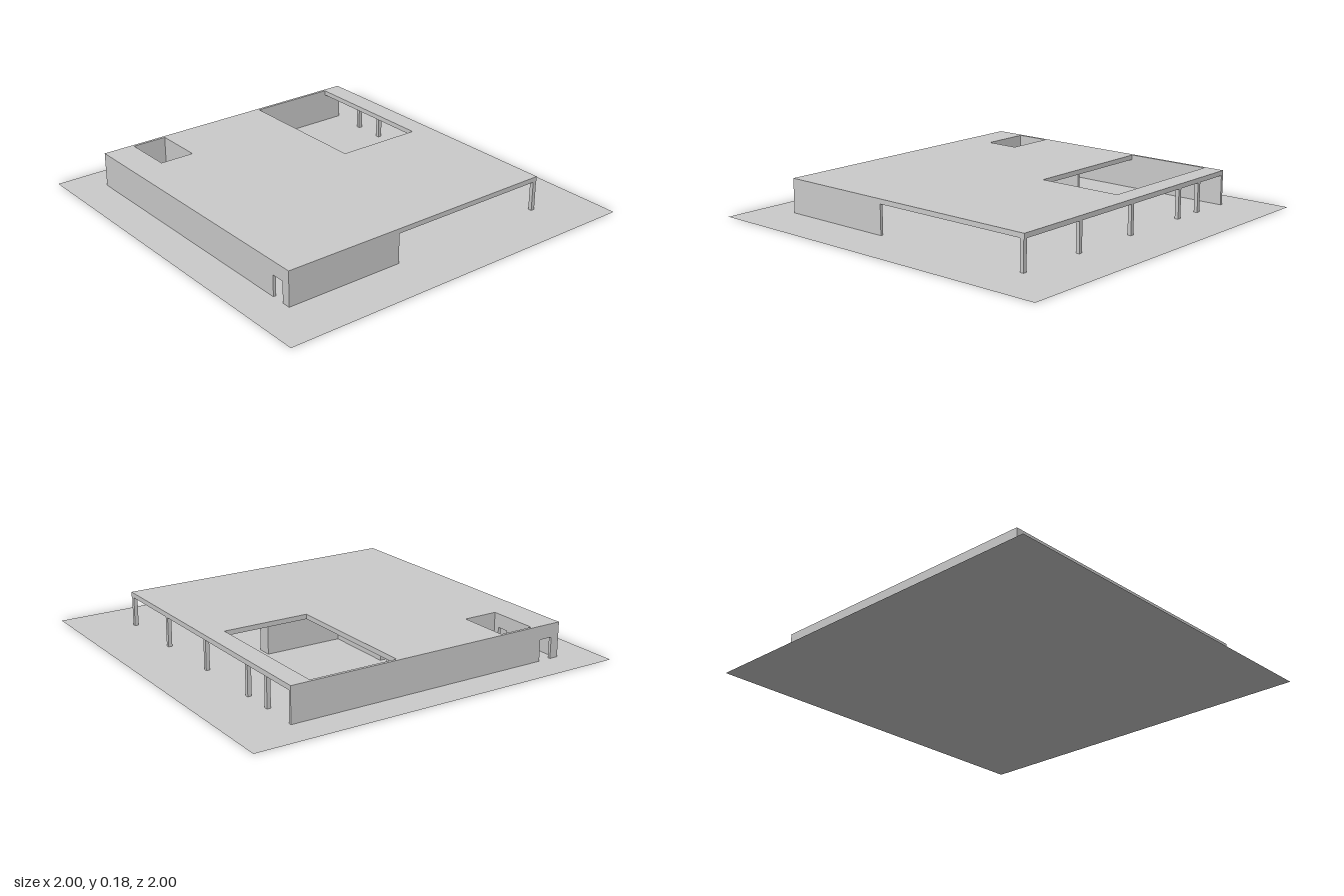
import * as THREE from 'three';

const material = new THREE.MeshStandardMaterial({ color: 0xcccccc, flatShading: true });
const groundMaterial = new THREE.MeshStandardMaterial({ color: 0xcccccc, side: THREE.DoubleSide });

// Outer limits of the house
const L = -0.83, R = 0.735, BACK = -0.715, FRONT = 0.81;
const CEILING = 0.155, TOP = 0.18, T = 0.015, DOOR = 0.11;

// Axis-aligned block given by its limits
function block(name, x0, x1, y0, y1, z0, z1) {
  const mesh = new THREE.Mesh(new THREE.BoxGeometry(x1 - x0, y1 - y0, z1 - z0), material);
  mesh.position.set((x0 + x1) / 2, (y0 + y1) / 2, (z0 + z1) / 2);
  mesh.name = name;
  return mesh;
}

const wall = (name, x0, x1, z0, z1) => block(name, x0, x1, 0, CEILING, z0, z1);

// Outline running from a to b, notched by a doorway from d0 to d1
function doorwayShape(a, b, d0, d1) {
  return new THREE.Shape([
    [a, 0], [d0, 0], [d0, DOOR], [d1, DOOR], [d1, 0], [b, 0], [b, CEILING], [a, CEILING],
  ].map(([u, v]) => new THREE.Vector2(u, v)));
}

function extruded(name, shape, depth) {
  const mesh = new THREE.Mesh(new THREE.ExtrudeGeometry(shape, { depth, bevelEnabled: false }), material);
  mesh.name = name;
  return mesh;
}

function rectangle(PathType, x0, x1, z0, z1) {
  return new PathType([[x0, -z0], [x0, -z1], [x1, -z1], [x1, -z0]].map(([x, y]) => new THREE.Vector2(x, y)));
}

export function createModel() {
  const model = new THREE.Group();
  model.name = 'courtyardHouse';

  // Flat site
  const ground = new THREE.Mesh(new THREE.PlaneGeometry(2, 2).rotateX(-Math.PI / 2), groundMaterial);
  ground.name = 'ground';
  model.add(ground);

  // Roof slab open over the two courtyards
  const roofShape = rectangle(THREE.Shape, L, R, BACK, FRONT);
  roofShape.holes.push(
    rectangle(THREE.Path, -0.815, -0.065, -0.61, -0.15),
    rectangle(THREE.Path, -0.815, -0.55, 0.46, 0.645),
  );
  const roof = extruded('roof', roofShape, TOP - CEILING);
  roof.rotation.x = -Math.PI / 2;
  roof.position.y = CEILING;
  model.add(roof);

  // Outer walls, with doorways in the front and the -x side
  const frontWall = extruded('frontWall', doorwayShape(L, R, 0.62, 0.69), T);
  frontWall.position.z = FRONT - T;
  const sideWall = extruded('courtyardSideWall', doorwayShape(-FRONT + T, -BACK, -0.765, -0.695), T);
  sideWall.rotation.y = Math.PI / 2;
  sideWall.position.x = L;
  model.add(frontWall, sideWall, wall('porchSideWall', R - T, R, 0.18, FRONT - T));

  // Small courtyard enclosure with its own doorway
  const courtFront = extruded('smallCourtFrontWall', doorwayShape(L + T, -0.535, -0.64, -0.58), T);
  courtFront.position.z = 0.645;
  model.add(
    courtFront,
    wall('smallCourtBackWall', L + T, -0.55, 0.445, 0.46),
    wall('smallCourtInnerWall', -0.55, -0.535, 0.0, 0.645),
  );

  // Inner core and the partition beside the large courtyard
  model.add(
    wall('core', -0.4, 0.045, 0.06, 0.3),
    wall('largeCourtPartition', -0.03, 0.045, -0.35, 0.06),
  );

  // Posts along the open back
  for (const x of [0.725, 0.34, -0.053, -0.446, -0.615]) {
    model.add(wall('post', x - 0.01, x + 0.01, BACK + 0.003, BACK + 0.023));
  }
  return model;
}
